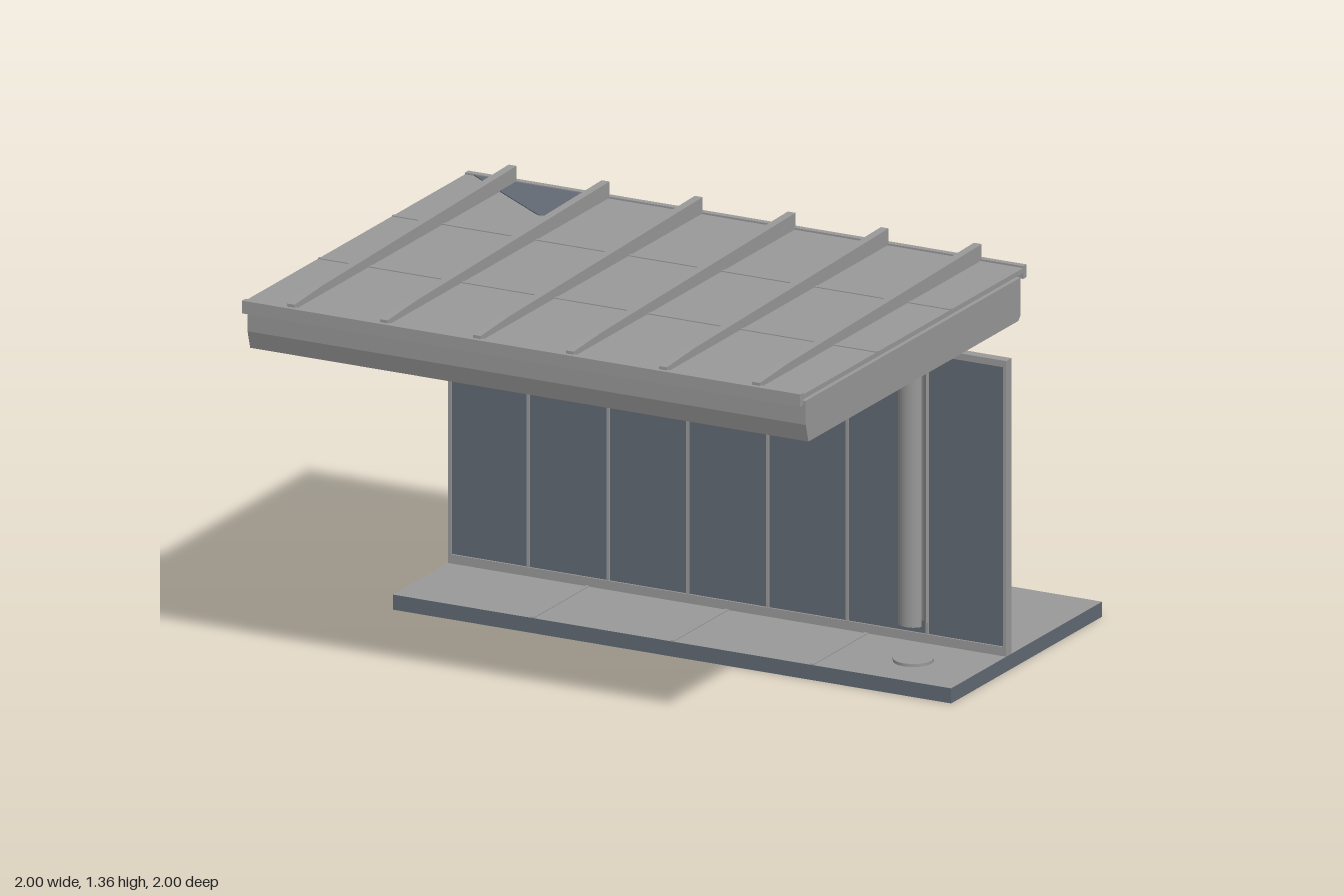
import * as THREE from 'three';

export function createModel() {
  const root = new THREE.Group();
  root.name = 'shelter';
  const grey = new THREE.MeshStandardMaterial({ color: 0x999999 });
  grey.name = 'light grey metal';
  const slate = new THREE.MeshStandardMaterial({ color: 0x626a74 });
  slate.name = 'dark slate';

  function add(name, geometry, material, parent = root) {
    const mesh = new THREE.Mesh(geometry, material);
    mesh.name = name;
    parent.add(mesh);
    return mesh;
  }
  // Box given by its limits on each axis
  function box(name, material, [x0, x1], [y0, y1], [z0, z1], parent) {
    const g = new THREE.BoxGeometry(x1 - x0, y1 - y0, z1 - z0);
    g.translate((x0 + x1) / 2, (y0 + y1) / 2, (z0 + z1) / 2);
    return add(name, g, material, parent);
  }
  // Side profile of [z, y] points, extruded along x
  function profile(name, material, points, width, x, parent) {
    const shape = new THREE.Shape(points.map(p => new THREE.Vector2(...p)));
    const g = new THREE.ExtrudeGeometry(shape, { depth: width, bevelEnabled: false });
    g.translate(0, 0, -width / 2).rotateY(-Math.PI / 2).translate(x, 0, 0);
    return add(name, g, material, parent);
  }
  function group(name) {
    const g = new THREE.Group();
    g.name = name;
    root.add(g);
    return g;
  }

  // Floor slab: grey top and underside, slate edges
  const floor = group('floor');
  box('slab', [slate, slate, grey, grey, slate, slate], [-1, 1], [0, 0.05], [-1, 0], floor);
  for (const x of [-0.5, 0, 0.5])
    box('floorSeam', grey, [x - 0.006, x + 0.006], [0.05, 0.053], [-1, -0.003], floor);

  // Back wall: seven slate panels in a grey frame
  const wall = group('backWall');
  const depth = [-0.4, -0.365];
  box('wallPanels', slate, [-0.99, 0.99], [0.06, 1.02], [-0.394, -0.371], wall);
  box('bottomRail', grey, [-1, 1], [0.05, 0.08], depth, wall);
  box('topRail', grey, [-1, 1], [1.008, 1.03], depth, wall);
  for (const s of [-1, 1])
    box('endPost', grey, [s * 0.994 - 0.006, s * 0.994 + 0.006], [0.08, 1.008], depth, wall);
  for (let i = 1; i < 7; i++) {
    const x = -1 + i * 2 / 7;
    box('mullion', grey, [x - 0.005, x + 0.005], [0.08, 1.008], [-0.398, -0.367], wall);
  }

  // Column: two curved shells facing each other
  const column = group('column');
  column.position.set(0.798, 0, -0.1225);
  const arc = new THREE.Shape();
  const half = 1.08;
  arc.absarc(0, 0, 0.048, Math.PI / 2 - half, Math.PI / 2 + half, false);
  arc.absarc(0, 0, 0.04, Math.PI / 2 + half, Math.PI / 2 - half, true);
  for (const turn of [0, Math.PI]) {
    const g = new THREE.ExtrudeGeometry(arc, { depth: 0.93, bevelEnabled: false, curveSegments: 8 });
    g.rotateX(Math.PI / 2).translate(0, 1.13, 0).rotateY(turn);
    add('columnShell', g, grey, column);
  }
  const foot = new THREE.CylinderGeometry(0.065, 0.065, 0.01, 16);
  add('footPlate', foot, grey, column).position.y = 0.08;
  const cap = new THREE.CylinderGeometry(0.05, 0.05, 0.006, 16);
  add('columnSocket', cap, slate, column).position.y = 1.138;

  // Roof body with bevelled lower edges
  const roof = group('roof');
  profile('roofBody', grey, [
    [0.965, 1.28], [-0.46, 1.28], [-0.46, 1.155], [-0.445, 1.14], [0.945, 1.14], [0.963, 1.2],
  ], 2, 0, roof);

  // Deck with front and rear lips and cross seams
  box('deck', grey, [-1, 1], [1.29, 1.306], [-0.48, 0.98], roof);
  box('frontLip', grey, [-1, 1], [1.27, 1.312], [0.978, 1], roof);
  box('rearLip', grey, [-1, 1], [1.27, 1.312], [-0.5, -0.478], roof);
  for (const z of [0, 0.49])
    box('deckSeam', grey, [-1, 1], [1.306, 1.309], [z - 0.007, z + 0.007], roof);

  // Dark patch at the rear corner of the deck
  const patch = [[-0.97, -0.48], [-0.515, -0.48], [-0.515, -0.37], [-0.575, -0.23], [-0.595, -0.22], [-0.62, -0.235]];
  const patchShape = new THREE.Shape(patch.map(([x, z]) => new THREE.Vector2(x, -z)));
  const patchGeometry = new THREE.ExtrudeGeometry(patchShape, { depth: 0.003, bevelEnabled: false });
  patchGeometry.rotateX(-Math.PI / 2).translate(0, 1.306, 0);
  add('deckPatch', patchGeometry, slate, roof);

  // Ribs that grow taller toward the rear
  for (let i = 0; i < 6; i++)
    profile('roofRib', grey, [
      [0.985, 1.3], [0.985, 1.322], [0.8, 1.333], [-0.485, 1.36], [-0.485, 1.3],
    ], 0.028, -5 / 6 + i / 3, roof);

  return root;
}
